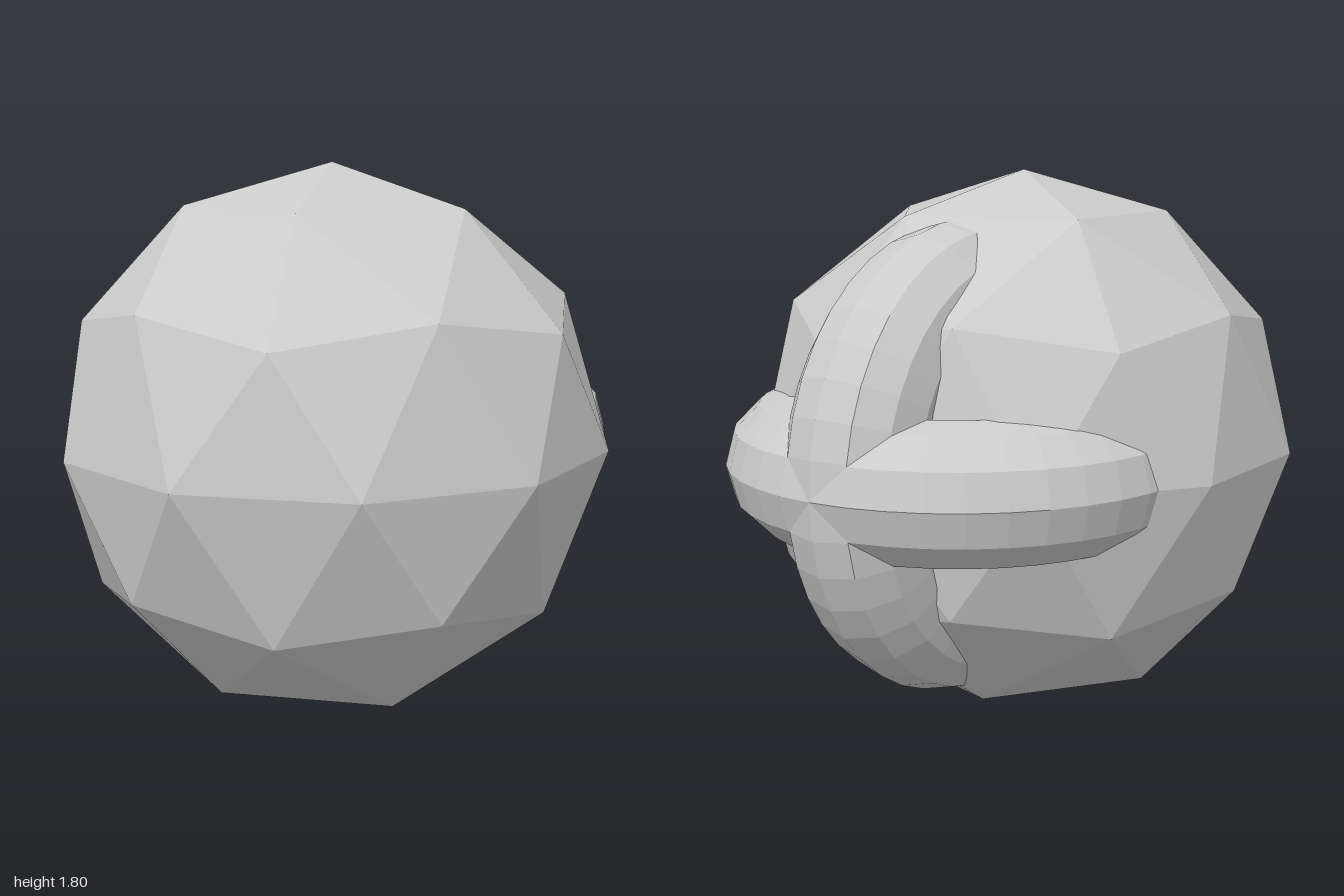
import * as THREE from 'three';

// Icosahedron with a vertex at each pole, split once into 80 facets
function facetedBall(radius) {
  const pole = Math.sqrt(5);
  const verts = [0, pole, 0, 0, -pole, 0];
  const ring = (y, offset) => {
    for (let i = 0; i < 5; i++) {
      const a = (i + offset) * Math.PI * 2 / 5;
      verts.push(2 * Math.cos(a), y, 2 * Math.sin(a));
    }
  };
  ring(1, 0);
  ring(-1, 0.5);
  const faces = [];
  for (let i = 0; i < 5; i++) {
    const j = (i + 1) % 5;
    const up = 2 + i, upNext = 2 + j, low = 7 + i, lowNext = 7 + j;
    faces.push(0, upNext, up, up, upNext, low, low, upNext, lowNext, 1, low, lowNext);
  }
  return new THREE.PolyhedronGeometry(verts, faces, radius, 1);
}

export function createModel() {
  const group = new THREE.Group();
  const material = new THREE.MeshStandardMaterial({ color: 0xcccccc, flatShading: true });

  const body = new THREE.Mesh(facetedBall(0.9), material);
  body.name = 'body';
  body.position.set(0, 0.9, 0.1);
  group.add(body);

  // Two crossed rings with a 12-sided section, sunk into the back of the ball
  const ringGeometry = new THREE.TorusGeometry(0.54, 0.22, 12, 40);
  const rings = [
    ['horizontalRing', Math.PI / 2, 0],
    ['verticalRing', 0, Math.PI / 2],
  ];
  for (const [name, turnX, turnY] of rings) {
    const ring = new THREE.Mesh(ringGeometry, material);
    ring.name = name;
    ring.position.set(0, 0.9, -0.24);
    ring.rotation.set(turnX, turnY, 0);
    group.add(ring);
  }
  return group;
}
